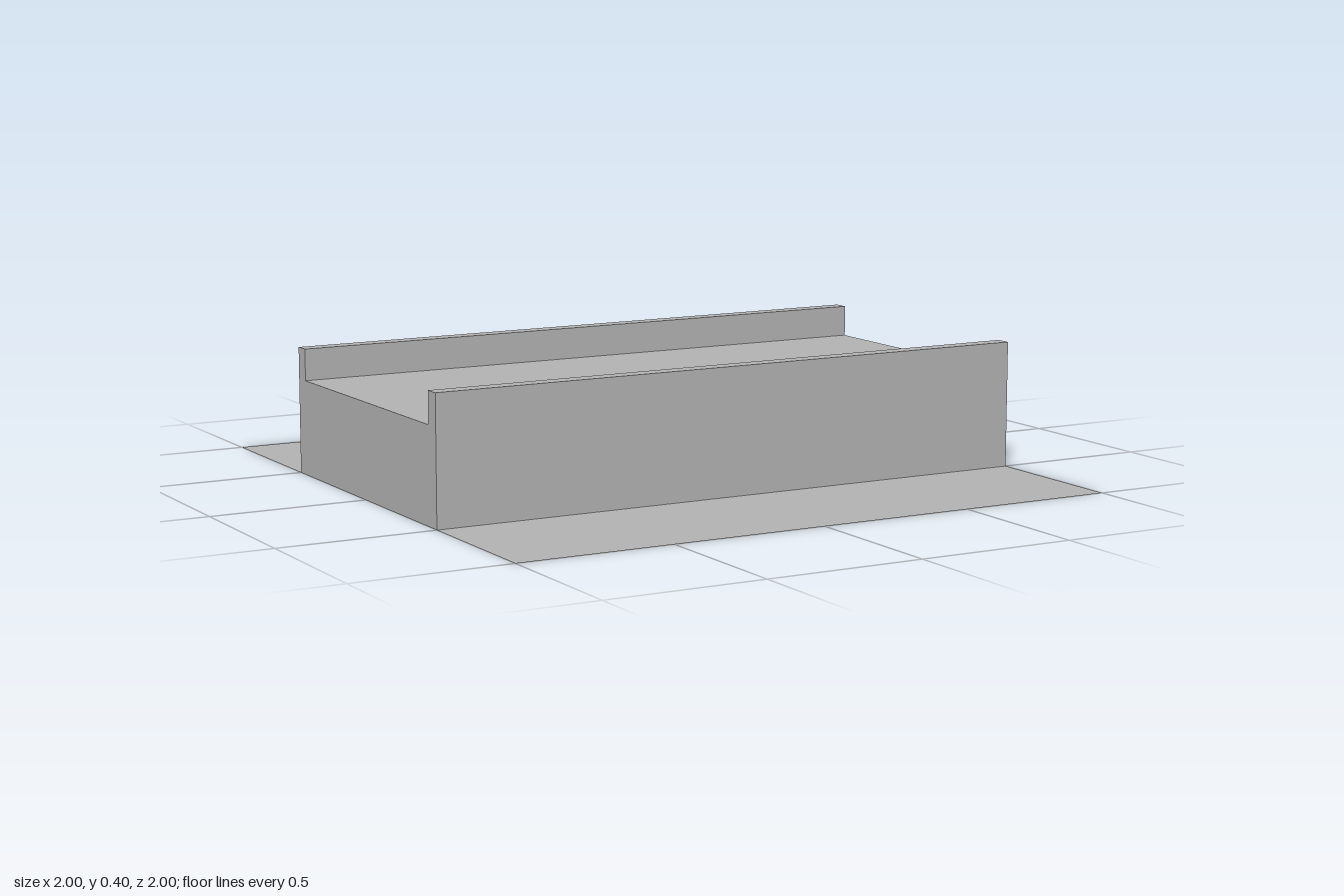
import * as THREE from 'three';

const LENGTH = 2, HALF = 0.5, INNER = 0.45, DECK = 0.3, TOP = 0.4;

export function createModel() {
  const model = new THREE.Group();
  model.name = 'bridgeDeck';
  const concrete = new THREE.MeshStandardMaterial({ color: 0xb2b2b2, side: THREE.DoubleSide });
  concrete.name = 'concreteGrey';

  const add = (name, geometry, x, y, z) => {
    const mesh = new THREE.Mesh(geometry, concrete);
    mesh.name = name;
    mesh.position.set(x, y, z);
    model.add(mesh);
  };
  // Horizontal sheet facing up
  const slab = (name, y, z, depth) =>
    add(name, new THREE.PlaneGeometry(LENGTH, depth).rotateX(-Math.PI / 2), 0, y, z);
  // Upright sheet along x, facing +z (side 1) or -z (side -1)
  const wall = (name, y0, y1, z, side) =>
    add(name, new THREE.PlaneGeometry(LENGTH, y1 - y0).rotateY(side > 0 ? 0 : Math.PI), 0, (y0 + y1) / 2, z);

  // Ground sheet and raised deck
  slab('groundSheet', 0, 0, 2);
  slab('deck', DECK, 0, INNER * 2);

  // Side walls with hollow parapets, open at the +x end
  for (const side of [1, -1]) {
    const label = side > 0 ? 'front' : 'back';
    const mid = side * (HALF + INNER) / 2;
    wall(label + 'Wall', 0, TOP, side * HALF, side);
    wall(label + 'ParapetInner', DECK, TOP, side * INNER, -side);
    slab(label + 'ParapetTop', TOP, mid, HALF - INNER);
    slab(label + 'ParapetFloor', DECK, mid, HALF - INNER);
  }

  // Closed end at -x, cut to the channel profile
  const profile = new THREE.Shape([
    [-HALF, 0], [HALF, 0], [HALF, TOP], [INNER, TOP],
    [INNER, DECK], [-INNER, DECK], [-INNER, TOP], [-HALF, TOP],
  ].map(([z, y]) => new THREE.Vector2(z, y)));
  add('endWall', new THREE.ShapeGeometry(profile).rotateY(-Math.PI / 2), -LENGTH / 2, 0, 0);

  return model;
}
